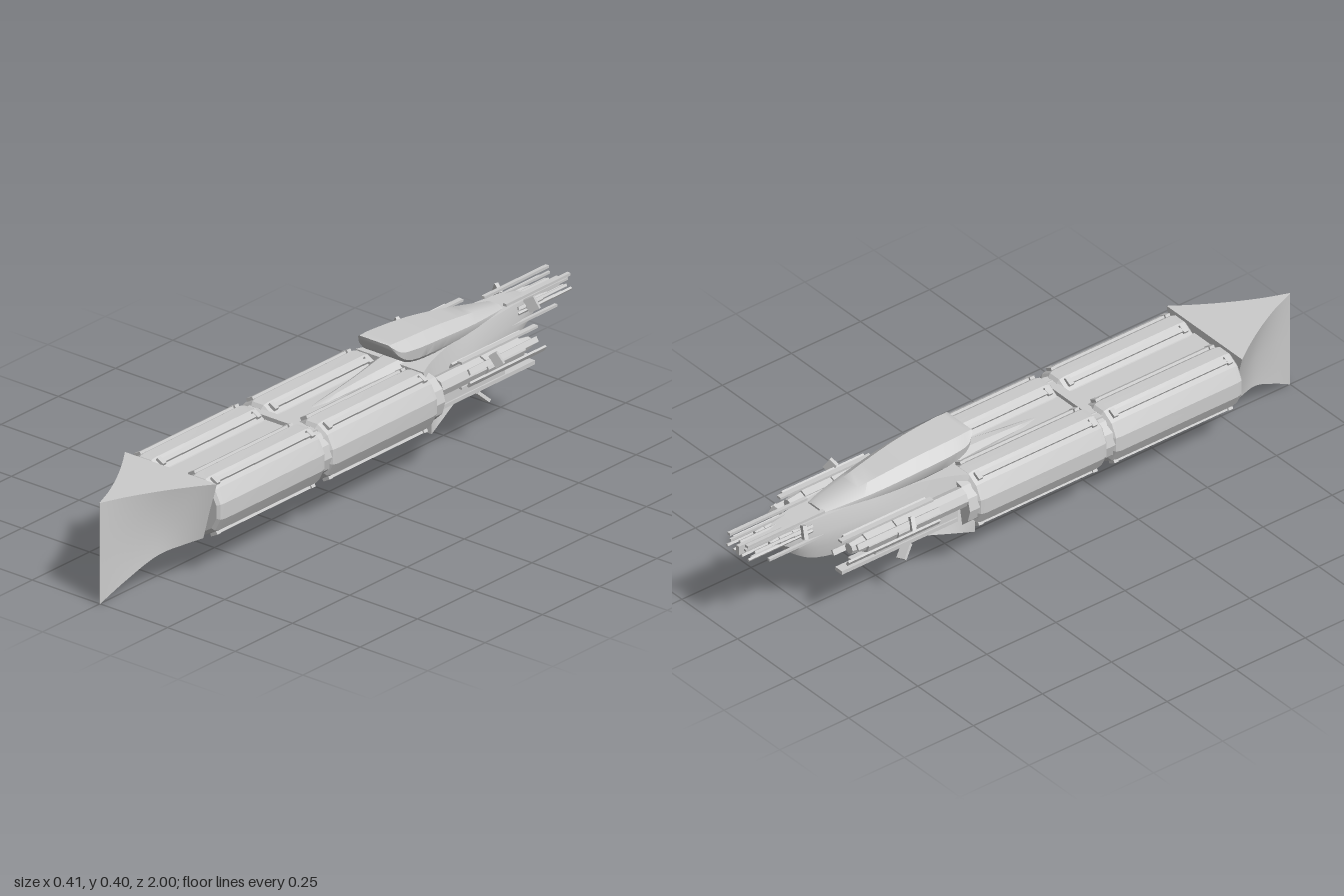
import * as THREE from 'three';
import { toCreasedNormals } from 'three/addons/utils/BufferGeometryUtils.js';

const mat = new THREE.MeshStandardMaterial({ color: 0xcccccc, side: THREE.DoubleSide });

function add(parent, name, geo, x = 0, y = 0, z = 0) {
  const m = new THREE.Mesh(geo, mat);
  m.name = name;
  m.position.set(x, y, z);
  parent.add(m);
  return m;
}

// Mirrored loft. Each section is [z, [x, y], ...]: right half from bottom to top, z falling.
function loft(sections, steps = 20, crease = 0.5) {
  const half = sections[0].length - 1, n = half * 2;
  const rails = [];
  for (let k = 1; k <= half; k++) {
    rails.push(new THREE.CatmullRomCurve3(
      sections.map((s) => new THREE.Vector3(s[k][0], s[k][1], s[0])), false, 'centripetal'));
  }
  const pos = [], idx = [];
  for (let i = 0; i <= steps; i++) {
    const ring = rails.map((r) => r.getPoint(i / steps));
    ring.forEach((p) => pos.push(p.x, p.y, p.z));
    ring.reverse().forEach((p) => pos.push(-p.x, p.y, p.z));
  }
  for (let i = 0; i < steps; i++) {
    for (let j = 0; j < n; j++) {
      const a = i * n + j, b = i * n + (j + 1) % n;
      idx.push(a, b + n, b, a, a + n, b + n);
    }
  }
  const e = steps * n;
  for (let j = 1; j < n - 1; j++) idx.push(0, j, j + 1, e, e + j + 1, e + j);
  const g = new THREE.BufferGeometry();
  g.setAttribute('position', new THREE.Float32BufferAttribute(pos, 3));
  g.setIndex(idx);
  return toCreasedNormals(g, crease);
}

// Faceted tank with bevelled ends and four raised ribs
function tank(x, z) {
  const g = new THREE.Group();
  g.name = 'tank';
  const L = 0.235, r = 0.093;
  const prof = [[0, -L], [0.078, -L], [0.089, -L + 0.008], [r, -L + 0.025],
    [r, L - 0.025], [0.089, L - 0.008], [0.078, L], [0, L]].map((p) => new THREE.Vector2(...p));
  const geo = new THREE.LatheGeometry(prof, 12);
  geo.rotateY(Math.PI / 12).rotateX(Math.PI / 2).scale(0.9, 1, 1);
  add(g, 'tankShell', toCreasedNormals(geo, 0.3));
  for (const sx of [-1, 1]) for (const sy of [-1, 1]) {
    const rib = add(g, 'tankRib', new THREE.BoxGeometry(0.014, 0.012, 0.43), sx * 0.041, sy * 0.08, 0);
    rib.rotation.z = -sx * sy * 0.5;
    for (const sz of [-1, 1]) {
      const tab = add(g, 'ribEnd', new THREE.BoxGeometry(0.026, 0.01, 0.016), sx * 0.041, sy * 0.082, sz * 0.207);
      tab.rotation.z = -sx * sy * 0.5;
    }
  }
  g.position.set(x, 0.225, z);
  return g;
}

// Engine pod along -z: core, collar, nozzle and a ring of long thin blades
function engine(name, r, len, reach, blades) {
  const g = new THREE.Group();
  g.name = name;
  const cyl = (label, r1, r2, h, z) => {
    const geo = new THREE.CylinderGeometry(r1, r2, h, 8).rotateX(Math.PI / 2);
    add(g, label, toCreasedNormals(geo, 0.3), 0, 0, z);
  };
  cyl('engineCore', r, r, len, -len / 2);
  cyl('engineCollar', r * 1.2, r * 1.2, len * 0.18, -len * 0.62);
  cyl('engineNozzle', r * 0.8, r * 0.55, reach * 0.12, -len - reach * 0.05);
  for (let i = 0; i < blades; i++) {
    const a = (i / blades) * Math.PI * 2 + Math.PI / 2;
    const end = i % 2 ? reach * 0.92 : reach, start = len * 0.3;
    const b = add(g, 'engineBlade', new THREE.BoxGeometry(r * 0.55, 0.007, end - start),
      Math.cos(a) * r * 1.25, Math.sin(a) * r * 1.25, -(start + end) / 2);
    b.rotation.z = a - Math.PI / 2;
  }
  return g;
}

function fin(parent, x, y, z, w, h, rz, ry) {
  const f = add(parent, 'fin', new THREE.BoxGeometry(w, h, 0.012), x, y, z);
  f.rotation.set(0, ry, rz);
}

export function createModel() {
  const ship = new THREE.Group();
  ship.name = 'starship';

  // Knife-edged prow with concave flanks
  add(ship, 'prow', loft([
    [1.0, [0.001, 0], [0.001, 0.16], [0.001, 0.313]],
    [0.92, [0.028, 0.052], [0.022, 0.18], [0.033, 0.313]],
    [0.82, [0.065, 0.108], [0.062, 0.2], [0.085, 0.313]],
    [0.74, [0.1, 0.125], [0.112, 0.21], [0.135, 0.313]],
    [0.69, [0.12, 0.131], [0.143, 0.22], [0.17, 0.313]],
  ], 24, 0.6));

  // Spine between the tanks, with a fairing leading up to the bridge
  add(ship, 'spine', new THREE.BoxGeometry(0.09, 0.13, 0.98), 0, 0.223, 0.21);
  add(ship, 'spineFairing', loft([
    [0.08, [0.01, 0.26], [0.01, 0.285], [0.002, 0.288]],
    [-0.12, [0.03, 0.26], [0.028, 0.295], [0.012, 0.307]],
    [-0.3, [0.06, 0.26], [0.055, 0.305], [0.03, 0.325]],
  ], 8));
  add(ship, 'tankCoupling', new THREE.BoxGeometry(0.25, 0.15, 0.03), 0, 0.225, 0.21);

  for (const s of [-1, 1]) {
    for (const z of [0.455, -0.035]) ship.add(tank(s * 0.1, z));
    // Collars between the tanks and at the hull joint
    for (const z of [0.21, -0.275]) {
      const c = new THREE.CylinderGeometry(0.076, 0.076, 0.05, 12).rotateX(Math.PI / 2);
      add(ship, 'tankCollar', toCreasedNormals(c, 0.3), s * 0.1, 0.225, z);
    }
  }

  // Stern hull, flared at the tanks and tapering aft
  add(ship, 'sternHull', loft([
    [-0.265, [0.155, 0.131], [0.155, 0.17], [0.14, 0.26], [0.125, 0.313]],
    [-0.33, [0.135, 0.142], [0.125, 0.18], [0.108, 0.265], [0.098, 0.316]],
    [-0.43, [0.105, 0.16], [0.095, 0.2], [0.085, 0.27], [0.075, 0.322]],
    [-0.56, [0.075, 0.18], [0.08, 0.22], [0.078, 0.28], [0.065, 0.328]],
    [-0.75, [0.04, 0.192], [0.052, 0.235], [0.054, 0.28], [0.045, 0.328]],
    [-0.81, [0.025, 0.22], [0.042, 0.25], [0.045, 0.285], [0.04, 0.325]],
    [-0.89, [0.015, 0.29], [0.03, 0.295], [0.032, 0.302], [0.03, 0.31]],
  ], 30));

  // Bridge
  add(ship, 'bridge', loft([
    [-0.197, [0.05, 0.392], [0.058, 0.394], [0.06, 0.396], [0.054, 0.399]],
    [-0.225, [0.065, 0.35], [0.076, 0.358], [0.078, 0.375], [0.056, 0.399]],
    [-0.27, [0.07, 0.328], [0.081, 0.338], [0.086, 0.37], [0.056, 0.397]],
    [-0.4, [0.07, 0.318], [0.08, 0.332], [0.082, 0.36], [0.05, 0.388]],
    [-0.56, [0.06, 0.315], [0.066, 0.328], [0.066, 0.344], [0.036, 0.365]],
    [-0.67, [0.045, 0.315], [0.048, 0.325], [0.046, 0.334], [0.025, 0.344]],
    [-0.72, [0.034, 0.315], [0.036, 0.322], [0.034, 0.328], [0.018, 0.335]],
  ], 24, 0.6));

  for (const s of [-1, 1]) {
    // Side engines with their rails and fins
    const e = engine('sideEngine', 0.031, 0.36, 0.44, 6);
    e.position.set(s * 0.138, 0.258, -0.3);
    ship.add(e);
    add(ship, 'engineRail', new THREE.BoxGeometry(0.03, 0.012, 0.42), s * 0.125, 0.186, -0.525);
    add(ship, 'enginePylon', new THREE.BoxGeometry(0.07, 0.05, 0.3), s * 0.1, 0.215, -0.46);
    fin(ship, s * 0.184, 0.284, -0.515, 0.028, 0.04, s * -0.6 + s * 1.2, s * 0.4);
    const low = add(ship, 'lowerFin', new THREE.BoxGeometry(0.03, 0.05, 0.01), s * 0.135, 0.16, -0.505);
    low.rotation.set(0.8, 0, s * 0.3);

    // Tail engines
    const t = engine('tailEngine', 0.014, 0.16, 0.28, 6);
    t.position.set(s * 0.033, 0.305, -0.72);
    ship.add(t);
    add(ship, 'tailRod', new THREE.BoxGeometry(0.012, 0.008, 0.28), s * 0.04, 0.339, -0.86);
    add(ship, 'tailRod', new THREE.BoxGeometry(0.01, 0.008, 0.2), s * 0.052, 0.27, -0.83);
    fin(ship, s * 0.064, 0.318, -0.81, 0.034, 0.04, s * 0.5, s * 0.4);
  }
  add(ship, 'tailRod', new THREE.BoxGeometry(0.012, 0.03, 0.28), 0, 0.305, -0.86);

  return ship;
}
